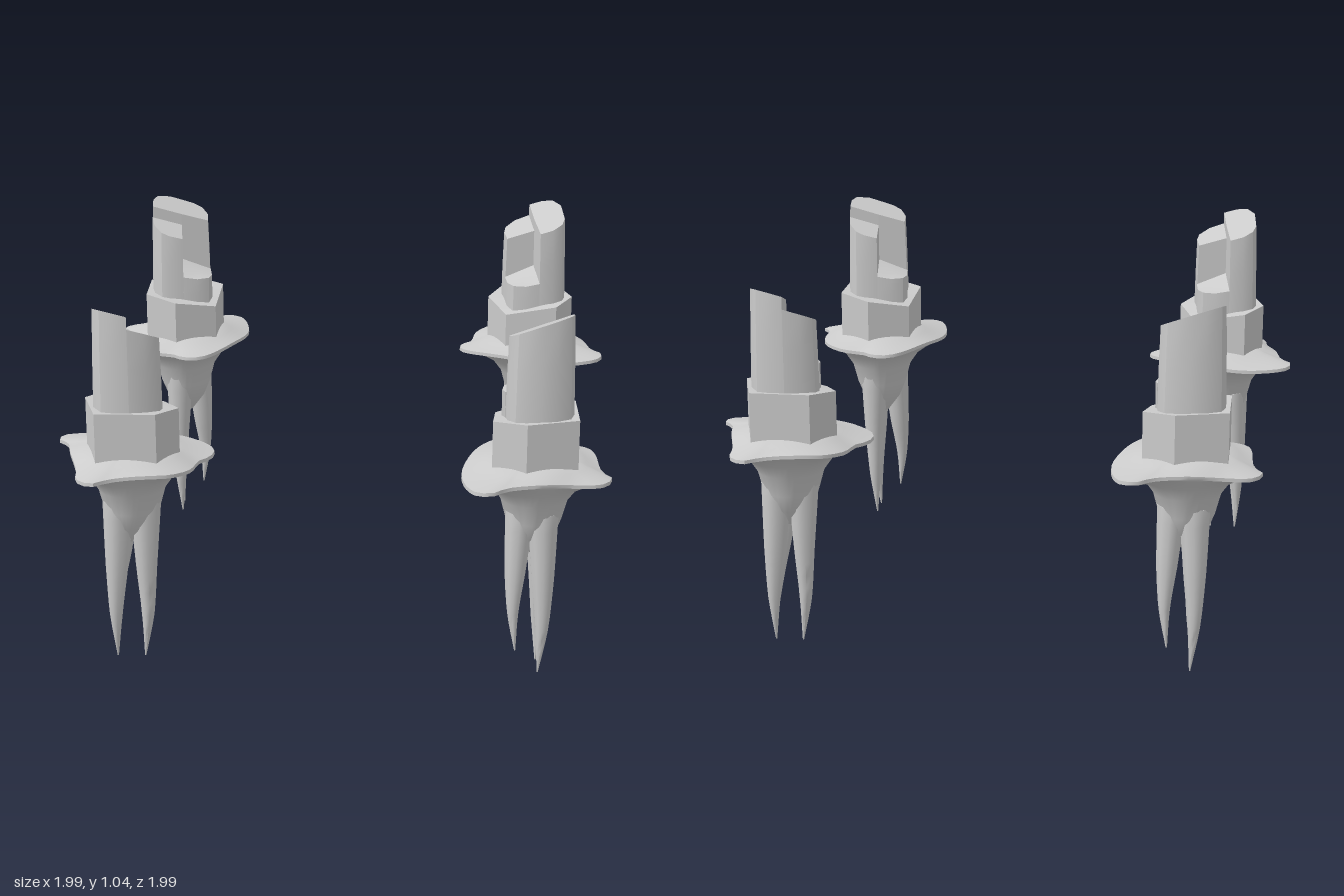
import * as THREE from 'three';
import { toCreasedNormals } from 'three/addons/utils/BufferGeometryUtils.js';

const material = new THREE.MeshStandardMaterial({ color: 0xcccccc });

// Skins closed rings of [x, y, z], listed bottom to top, and caps both ends.
function loft(name, rings, crease = 0.6) {
  const n = rings[0].length;
  const pos = rings.flat(2);
  const index = [];
  for (let r = 0; r < rings.length - 1; r++) {
    for (let i = 0; i < n; i++) {
      const a = r * n + i, b = r * n + (i + 1) % n;
      index.push(a, b, b + n, a, b + n, a + n);
    }
  }
  const cap = (ring, start, up) => {
    const centre = pos.length / 3;
    for (let k = 0; k < 3; k++) pos.push(ring.reduce((s, p) => s + p[k], 0) / n);
    for (let i = 0; i < n; i++) {
      const a = start + i, b = start + (i + 1) % n;
      index.push(centre, up ? a : b, up ? b : a);
    }
  };
  cap(rings[0], 0, false);
  cap(rings.at(-1), (rings.length - 1) * n, true);
  const geometry = new THREE.BufferGeometry();
  geometry.setAttribute('position', new THREE.Float32BufferAttribute(pos, 3));
  geometry.setIndex(index);
  const mesh = new THREE.Mesh(toCreasedNormals(geometry, crease), material);
  mesh.name = name;
  return mesh;
}

// Upright block over a plan of [x, z], with a sloped top and a gentle taper.
function block(name, plan, y0, top, taper = 1) {
  const rows = [0, 0.35, 0.7, 1];
  return loft(name, rows.map((t) => {
    const s = 1 + (taper - 1) * t * t;
    return plan.map(([x, z]) => [x * s, y0 + (top(x, z) - y0) * t, z * s]);
  }));
}

// Irregular brim outline, seen from above
const brimPlan = [
  [0.2, -0.02], [0.165, -0.1], [0.17, -0.14], [0.14, -0.19], [0.04, -0.2], [-0.165, -0.13],
  [-0.265, -0.01], [-0.24, 0.035], [-0.205, 0.04], [-0.14, 0.095], [-0.05, 0.165],
  [0, 0.215], [0.055, 0.215], [0.075, 0.17], [0.165, 0.09], [0.195, 0.05],
];

// Brim that sweeps down into the trunk
function makeBrim() {
  const curve = new THREE.CatmullRomCurve3(
    brimPlan.map(([x, z]) => new THREE.Vector3(x, 0, z)), true, 'centripetal');
  const outline = curve.getSpacedPoints(48).slice(0, 48);
  // height, radius of the round core, share of the brim outline
  const levels = [
    [0.37, 0.02, 0], [0.42, 0.058, 0], [0.47, 0.078, 0], [0.53, 0.092, 0.02],
    [0.57, 0.115, 0.08], [0.592, 0.135, 0.3], [0.604, 0.14, 0.65], [0.61, 0.14, 1],
    [0.62, 0.14, 0.99], [0.627, 0.135, 0.6], [0.637, 0.13, 0.2], [0.65, 0.11, 0],
  ];
  return loft('brimAndTrunk', levels.map(([y, r, share]) => outline.map((p) => {
    const k = (r / p.length()) * (1 - share) + share;
    const wave = 0.006 * share * Math.sin(3 * Math.atan2(p.z, p.x));
    return [p.x * k, y + wave, p.z * k];
  })), 0.9);
}

// Tapering root along a bent path of [x, y, z, radius]
function makeRoot(path) {
  const sides = 10;
  const spine = new THREE.CatmullRomCurve3(path.map((p) => new THREE.Vector3(p[0], p[1], p[2])));
  const rings = [];
  for (let j = 0; j <= 12; j++) {
    const t = j / 12, c = spine.getPoint(t);
    const f = Math.min(t * (path.length - 1), path.length - 1.0001), i = Math.floor(f);
    const r = THREE.MathUtils.lerp(path[i][3], path[i + 1][3], f - i);
    rings.push(Array.from({ length: sides }, (_, k) => {
      const a = (k / sides) * Math.PI * 2;
      return [c.x + r * Math.cos(a), c.y, c.z - r * Math.sin(a)];
    }));
  }
  return loft('root', rings, 1);
}

function makePost() {
  const post = new THREE.Group();
  post.add(makeBrim());

  // Three roots, each from its tip upward
  const roots = [
    [[-0.03, 0.02, 0.048, 0.002], [-0.025, 0.15, 0.055, 0.018], [-0.02, 0.3, 0.05, 0.032], [-0.015, 0.5, 0.04, 0.045]],
    [[0.032, 0.02, 0, 0.002], [0.042, 0.15, -0.005, 0.018], [0.042, 0.3, -0.005, 0.03], [0.04, 0.5, -0.01, 0.045]],
    [[-0.075, 0.09, 0, 0.002], [-0.075, 0.2, -0.01, 0.016], [-0.062, 0.32, -0.015, 0.03], [-0.045, 0.5, -0.015, 0.042]],
  ];
  roots.forEach((path) => post.add(makeRoot(path)));

  // Six-sided collar, lower at the back
  const collar = [[0.134, 0.04], [0.12, -0.07], [0.005, -0.138], [-0.128, -0.055], [-0.118, 0.05], [0, 0.14]];
  post.add(block('collar', collar, 0.61, (x, z) => 0.78 + 0.35 * Math.min(0, z + 0.03)));

  // Tower split into four wedges of different heights
  const c = [0, 0.003];
  const ne = [0.066, -0.058], nw = [-0.066, -0.058], sw = [-0.072, 0.066], se = [0.068, 0.072];
  const slope = (x, z) => 1.02 + 0.4 * z;
  const wedges = [
    ['frontWedge', [c, sw, [-0.045, 0.095], [0, 0.112], [0.035, 0.1], se], slope, 0.93],
    ['rightWedge', [c, nw, [-0.098, -0.03], [-0.11, 0.005], [-0.1, 0.035], sw], slope, 0.93],
    ['leftWedge', [c, se, [0.1, 0.035], [0.11, -0.005], [0.098, -0.03], ne], (x, z) => slope(x, z) - 0.035, 0.95],
    ['backStep', [c, ne, [0.035, -0.09], [0, -0.107], [-0.035, -0.09], nw],
      (x, z) => 0.83 + 0.6 * Math.max(0, z + 0.07), 1],
  ];
  wedges.forEach(([name, plan, top, taper]) => post.add(block(name, plan, 0.65, top, taper)));
  return post;
}

export function createModel() {
  const model = new THREE.Group();
  model.name = 'rootedPosts';
  // The same post four times around the centre
  for (let i = 0; i < 4; i++) {
    const arm = new THREE.Group();
    arm.name = 'postArm';
    const post = makePost();
    post.name = 'rootedPost';
    post.position.set(-0.15, 0, 0.775);
    arm.add(post);
    arm.rotation.y = (i * Math.PI) / 2;
    model.add(arm);
  }
  return model;
}
